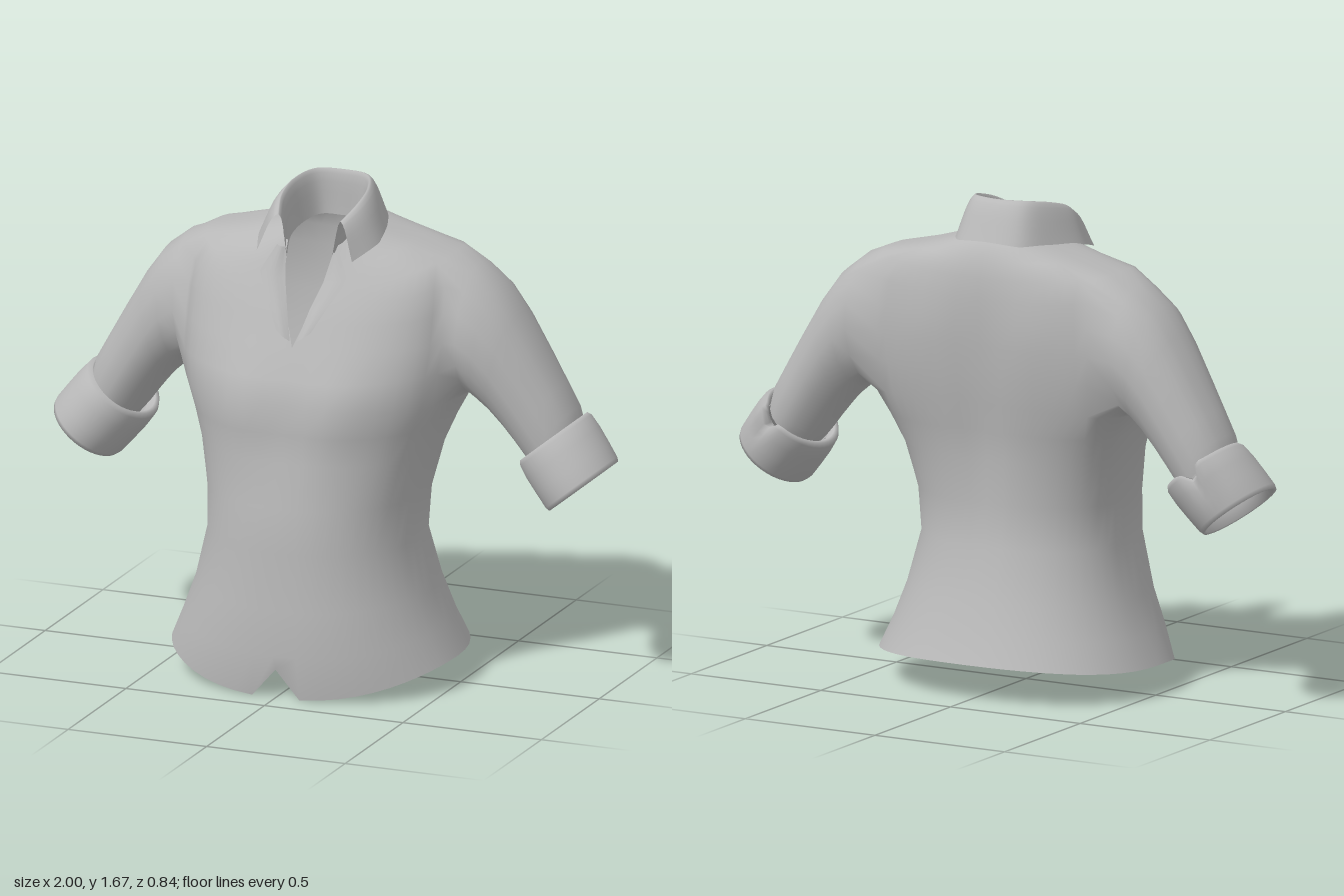
import * as THREE from 'three';
import { mergeVertices } from 'three/addons/utils/BufferGeometryUtils.js';

const COLS = 48;
const V = (x, y, z) => new THREE.Vector3(x, y, z);
const bump = (d, s) => Math.exp(-(d * d) / (s * s));

// Smooth geometry from points and quads, welded along coincident edges
function buildMesh(name, points, quads, material) {
  let geo = new THREE.BufferGeometry();
  geo.setAttribute('position', new THREE.Float32BufferAttribute(points.flatMap(p => p.toArray()), 3));
  geo.setIndex(quads.flatMap(([a, b, c, d]) => [a, b, c, a, c, d]));
  geo = mergeVertices(geo, 1e-4);
  geo.computeVertexNormals();
  const mesh = new THREE.Mesh(geo, material);
  mesh.name = name;
  return mesh;
}

// Surface through rows of points; each row holds the same number of points
function loft(name, rows, material, flip = false) {
  const n = rows[0].length, quads = [];
  for (let r = 0; r < rows.length - 1; r++)
    for (let c = 0; c < n - 1; c++) {
      const q = [r * n + c, r * n + c + 1, (r + 1) * n + c + 1, (r + 1) * n + c];
      quads.push(flip ? q.reverse() : q);
    }
  return buildMesh(name, rows.flat(), quads, material);
}

const smooth = (pts, n) => new THREE.CatmullRomCurve3(pts).getPoints(n);
const mirror = pts => pts.map(p => V(-p.x, p.y, p.z));

// Body rows, hem to neck: front y, side y, back y, half width, front z, side z, back z, neck gap
const BODY = [
  [0.00, 0.10, 0.13, 0.50, 0.405, 0.02, -0.42, 0],
  [0.15, 0.20, 0.22, 0.455, 0.42, 0.02, -0.375, 0],
  [0.30, 0.32, 0.33, 0.41, 0.40, 0.02, -0.335, 0],
  [0.50, 0.50, 0.50, 0.365, 0.39, 0.02, -0.275, 0],
  [0.65, 0.65, 0.65, 0.372, 0.378, 0, -0.27, 0],
  [0.80, 0.80, 0.80, 0.405, 0.342, -0.03, -0.28, 0],
  [0.90, 0.90, 0.90, 0.44, 0.34, -0.07, -0.295, 0],
  [1.00, 0.98, 1.00, 0.475, 0.335, -0.10, -0.315, 0],
  [1.08, 1.10, 1.10, 0.49, 0.312, -0.11, -0.325, 0],
  [1.18, 1.20, 1.20, 0.495, 0.262, -0.12, -0.33, 0],
  [1.26, 1.30, 1.28, 0.49, 0.225, -0.12, -0.33, 0.03],
  [1.33, 1.39, 1.36, 0.48, 0.185, -0.12, -0.328, 0.055],
  [1.39, 1.465, 1.43, 0.44, 0.15, -0.12, -0.32, 0.075],
  [1.44, 1.497, 1.49, 0.30, 0.12, -0.11, -0.305, 0.08],
  [1.48, 1.53, 1.54, 0.18, 0.10, -0.09, -0.272, 0.085],
  [1.50, 1.55, 1.56, 0.13, 0.09, -0.08, -0.235, 0.085],
];
// Armhole window in the body grid
const R0 = 7, R1 = 12, C0 = 9, C1 = 17;

// Sleeve rings: top x, top y, bottom x, bottom y, centre z, z radius
const SLEEVE = [
  [0.52, 1.432, 0.50, 0.99, -0.125, 0.203],
  [0.60, 1.37, 0.535, 0.965, -0.125, 0.195],
  [0.67, 1.275, 0.575, 0.93, -0.13, 0.182],
  [0.75, 1.14, 0.62, 0.88, -0.135, 0.167],
  [0.81, 1.035, 0.66, 0.83, -0.138, 0.156],
  [0.855, 0.955, 0.69, 0.79, -0.14, 0.148],
  [0.87, 0.90, 0.72, 0.755, -0.14, 0.14],
];

function bodyPoint(row, c) {
  const [yF, yS, yB, w, zF, zS, zB, gap] = row;
  const t = (c / COLS) * Math.PI * 2, s = Math.sin(t), k = Math.cos(t);
  const front = k > 0, side = c <= COLS / 2 ? 1 : -1;
  const g = front ? gap : 0;
  const x = side * (g + (w - g) * Math.pow(Math.abs(s), 0.87));
  // the section grows boxier towards the shoulders, most of all at the back
  const roundness = 0.9 - (front ? 0.2 : 0.54) * bump(yS - 1.22, 0.36);
  let y = yS + ((front ? yF : yB) - yS) * k * k;
  let z = zS + ((front ? zF : zB) - zS) * Math.pow(Math.abs(k), roundness);
  if (front) z += 0.022 * bump(Math.abs(x) - 0.17, 0.11) * bump(y - 0.96, 0.15);
  else z += 0.03 * bump(x, 0.08) * bump(y - 1.0, 0.35) - 0.012 * bump(Math.abs(x) - 0.2, 0.12) * bump(y - 1.25, 0.16);
  if (row === BODY[0] && c % COLS === 0) y = 0.1; // notch at the front hem
  return V(x, y, z);
}

// Body and sleeves share one skin, the sleeves growing out of the armholes
function shirtBody(material) {
  const n = COLS + 1, pts = [], quads = [];
  BODY.forEach(row => { for (let c = 0; c <= COLS; c++) pts.push(bodyPoint(row, c)); });
  const inHole = (r, c) => r >= R0 && r < R1 &&
    ((c >= C0 && c < C1) || (c >= COLS - C1 && c < COLS - C0));
  for (let r = 0; r < BODY.length - 1; r++)
    for (let c = 0; c < COLS; c++)
      if (!inHole(r, c)) quads.push([r * n + c, r * n + c + 1, (r + 1) * n + c + 1, (r + 1) * n + c]);

  const edge = [];
  for (let c = C0; c < C1; c++) edge.push([R0, c]);
  for (let r = R0; r < R1; r++) edge.push([r, C1]);
  for (let c = C1; c > C0; c--) edge.push([R1, c]);
  for (let r = R1; r > R0; r--) edge.push([r, C0]);

  for (const side of [1, -1]) {
    let prev = edge.map(([r, c]) => r * n + (side > 0 ? c : COLS - c));
    const angles = prev.map(i => Math.atan2((pts[i].y - 1.21) / 0.23, (pts[i].z + 0.11) / 0.19));
    for (const [tx, ty, bx, by, cz, rz] of SLEEVE) {
      const next = angles.map(a => {
        const u = Math.sin(a) / 2;
        pts.push(V(side * ((tx + bx) / 2 + (tx - bx) * u), (ty + by) / 2 + (ty - by) * u, cz + rz * Math.cos(a)));
        return pts.length - 1;
      });
      prev.forEach((a, i) => {
        const j = (i + 1) % prev.length, q = [a, prev[j], next[j], next[i]];
        quads.push(side > 0 ? q : q.reverse());
      });
      prev = next;
    }
  }
  return buildMesh('bodyAndSleeves', pts, quads, material);
}

// Rolled cuff: distance along the arm, in-plane radius, z radius
const CUFF = [
  [0.03, 0.105, 0.14], [0.0, 0.116, 0.15], [-0.005, 0.13, 0.162], [0.01, 0.14, 0.17],
  [0.06, 0.144, 0.172], [0.12, 0.143, 0.17], [0.175, 0.141, 0.167], [0.19, 0.136, 0.161],
  [0.188, 0.125, 0.148], [0.15, 0.117, 0.141], [0.03, 0.104, 0.138],
];
function cuff(side, material) {
  const rows = CUFF.map(([t, ru, rz], k) => {
    const row = [];
    for (let i = 0; i <= 40; i++) {
      const a = (i / 40) * Math.PI * 2;
      // small slit in the rolled edge at the back, with a lifted corner beside it
      const top = k > 0 && k < 5 ? 1 - Math.abs(k - 2) / 4 : 0;
      const d = t + 0.06 * top * bump(a - 2.9, 0.16);
      const lift = 1 + top * (0.1 * bump(a - 2.6, 0.16) - 0.1 * bump(a - 2.95, 0.14));
      const u = Math.sin(a) * ru * lift;
      row.push(V(side * (0.775 + 0.63 * d + 0.77 * u), 0.843 - 0.77 * d + 0.63 * u,
        -0.152 + 0.17 * d + rz * lift * Math.cos(a)));
    }
    return row;
  });
  return loft(side > 0 ? 'leftCuff' : 'rightCuff', rows, material, side > 0);
}

// Collar lines from the centre back to the left front: stand foot, fold, outer edge
const STAND = [V(0, 1.52, -0.175), V(0.07, 1.52, -0.165), V(0.102, 1.51, -0.09), V(0.105, 1.49, 0.02), V(0.08, 1.45, 0.115)];
const FOLD = [V(0, 1.675, -0.185), V(0.09, 1.675, -0.165), V(0.13, 1.662, -0.09), V(0.135, 1.632, 0.02), V(0.11, 1.59, 0.11)];
const FALL = [V(0, 1.545, -0.272), V(0.12, 1.535, -0.248), V(0.185, 1.515, -0.14), V(0.214, 1.505, 0.01), V(0.172, 1.47, 0.155)];
function collar(material) {
  const full = half => smooth([...mirror(half.slice(1)).reverse(), ...half], 48);
  const [a, b, c] = [STAND, FOLD, FALL].map(full);
  const rows = a.map((p, i) => {
    const roll = b[i].clone().lerp(c[i], 0.28).add(V(0, 0.024, 0));
    return smooth([p, b[i], roll, c[i]], 15);
  });
  return loft('collar', rows, material);
}

// Opened front edge folded back beside the neck opening
function lapel(side, material) {
  const inner = [V(0.012, 1.2, 0.253), V(0.04, 1.3, 0.208), V(0.068, 1.385, 0.156), V(0.085, 1.48, 0.108)];
  const outer = [V(0.062, 1.235, 0.251), V(0.108, 1.32, 0.214), V(0.158, 1.405, 0.16), V(0.112, 1.49, 0.122)];
  const rows = inner.map((p, i) => {
    const mid = p.clone().lerp(outer[i], 0.45).add(V(0, 0, 0.008));
    const pts = smooth([p, mid, outer[i]], 6);
    return side > 0 ? pts : mirror(pts);
  });
  return loft(side > 0 ? 'leftLapel' : 'rightLapel', rows, material, side < 0);
}

export function createModel() {
  const cloth = new THREE.MeshStandardMaterial({ color: 0xb8b8b8, side: THREE.DoubleSide });
  cloth.name = 'grey cloth';
  const shirt = new THREE.Group();
  shirt.name = 'shirt';
  shirt.add(shirtBody(cloth), collar(cloth));
  for (const side of [1, -1]) shirt.add(cuff(side, cloth), lapel(side, cloth));
  return shirt;
}
